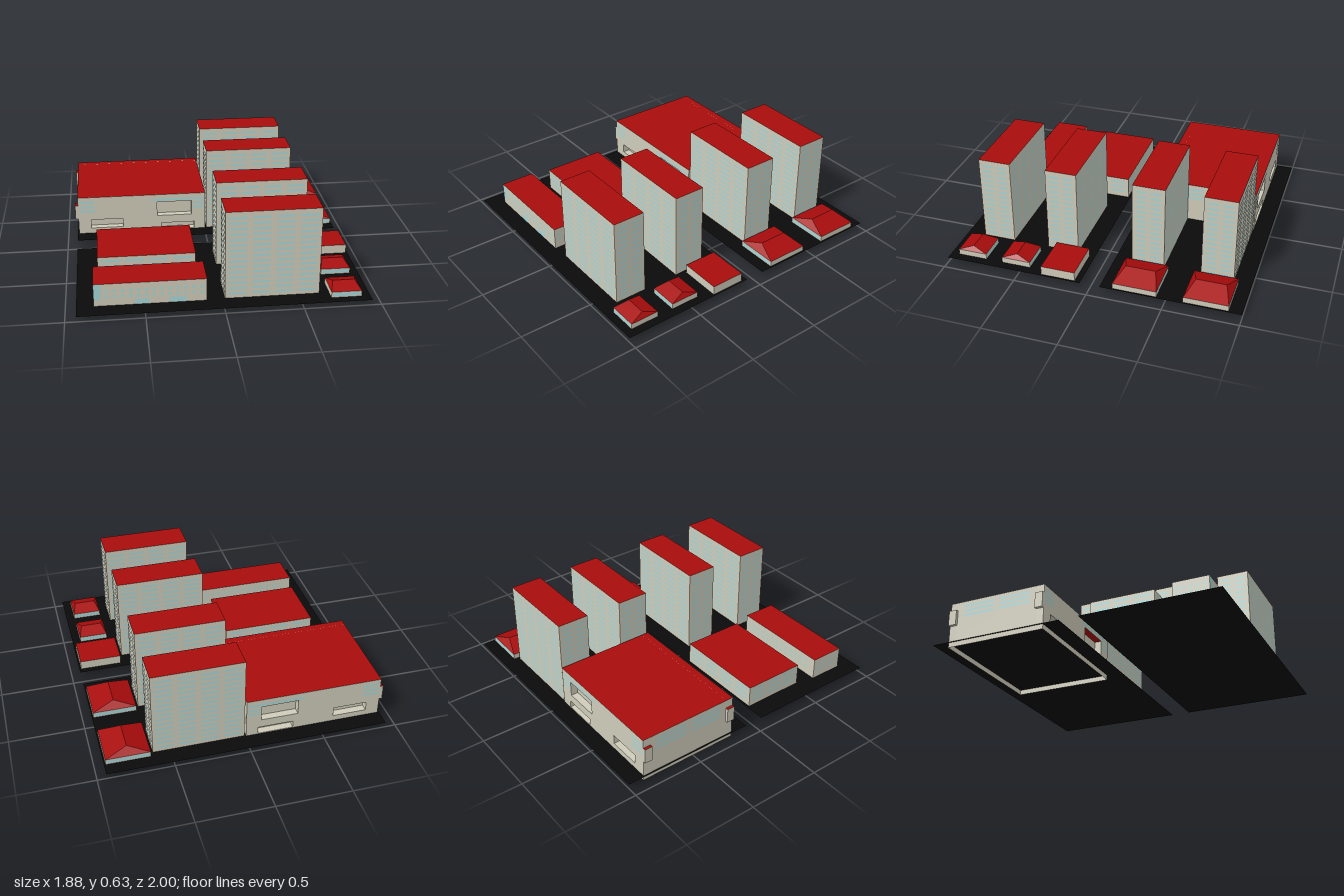
import * as THREE from 'three';
import { mergeGeometries } from 'three/addons/utils/BufferGeometryUtils.js';

const mat = (color, side = THREE.FrontSide) => new THREE.MeshStandardMaterial({ color, side });
const wall = mat(0xcfccba), red = mat(0xa80c0c), glass = mat(0xa6d6d8);
const asphalt = mat(0x0a0a0a, THREE.DoubleSide), skirtMat = mat(0xcfccba, THREE.DoubleSide);
const BASE = 0.036; // just above the ground sheets

// Box from its limits, with a red flat top
function block(name, x0, x1, z0, z1, top, y0 = BASE) {
  const g = new THREE.BoxGeometry(x1 - x0, top - y0, z1 - z0);
  g.translate((x0 + x1) / 2, (y0 + top) / 2, (z0 + z1) / 2);
  const m = new THREE.Mesh(g, [wall, wall, red, wall, wall, wall]);
  m.name = name;
  return m;
}

// Window panes on one facade: axis 'x' or 'z' is the normal, sign its direction
function windows(axis, sign, at, rects) {
  const parts = rects.map(([u0, u1, y0, y1]) => {
    const g = new THREE.PlaneGeometry(u1 - u0, y1 - y0);
    const u = (u0 + u1) / 2, y = (y0 + y1) / 2, d = at + sign * 0.0015;
    if (axis === 'z') return g.rotateY(sign > 0 ? 0 : Math.PI).translate(u, y, d);
    return g.rotateY(sign * Math.PI / 2).translate(d, y, u);
  });
  const m = new THREE.Mesh(mergeGeometries(parts), glass);
  m.name = 'windows';
  return m;
}

// Grid of panes: columns as [u0, u1] pairs, repeated upwards
function grid(cols, y0, step, rows, h) {
  const out = [];
  for (let r = 0; r < rows; r++) {
    for (const [a, b] of cols) out.push([a, b, y0 + r * step, y0 + r * step + h]);
  }
  return out;
}

// Evenly spaced columns between two limits
function columns(a, b, n, fill) {
  const s = (b - a) / n, pad = s * (1 - fill) / 2;
  return Array.from({ length: n }, (_, i) => [a + i * s + pad, a + (i + 1) * s - pad]);
}

function tower(z0, z1) {
  const g = new THREE.Group();
  g.name = 'tower';
  g.add(block('towerBody', 0.01, 0.62, z0, z1, 0.635));
  const front = grid(columns(0.015, 0.615, 4, 0.78), 0.062, 0.0375, 15, 0.015);
  const side = grid(columns(z0 + 0.01, z1 - 0.01, 2, 0.74), 0.062, 0.0375, 15, 0.015);
  g.add(windows('z', 1, z1, front), windows('z', -1, z0, front));
  g.add(windows('x', 1, 0.62, side), windows('x', -1, 0.01, side));
  return g;
}

// Hipped roof: eaves rectangle rising to a ridge from a to b
function hipRoof(x0, x1, z0, z1, y, a, b) {
  const c = [[x0, y, z1], [x1, y, z1], [x1, y, z0], [x0, y, z0]];
  const alongX = a[2] === b[2];
  const tris = alongX
    ? [[c[0], c[1], b], [c[0], b, a], [c[1], c[2], b], [c[2], c[3], a], [c[2], a, b], [c[3], c[0], a]]
    : [[c[0], c[1], b], [c[1], c[2], a], [c[1], a, b], [c[2], c[3], a], [c[3], c[0], b], [c[3], b, a]];
  const g = new THREE.BufferGeometry();
  g.setAttribute('position', new THREE.Float32BufferAttribute(tris.flat(2), 3));
  g.computeVertexNormals();
  const m = new THREE.Mesh(g, red);
  m.name = 'hipRoof';
  return m;
}

function house(x0, x1, z0, z1, a, b) {
  const g = new THREE.Group();
  g.name = 'house';
  g.add(block('houseWalls', x0, x1, z0, z1, 0.075), hipRoof(x0, x1, z0, z1, 0.075, a, b));
  const row = [[x0 + 0.01, x1 - 0.01, 0.045, 0.068]];
  g.add(windows('z', 1, z1, row), windows('z', -1, z0, row));
  return g;
}

// Wide hall with recessed balconies and entrances in its two long walls
function mainHall() {
  const g = new THREE.Group();
  g.name = 'mainHall';
  const [x0, x1, z0, z1, top, t] = [-0.92, 0, -0.885, -0.185, 0.315, 0.05];
  const recesses = [[-0.35, -0.1, 0.15, 0.257], [-0.32, -0.08, 0.04, 0.09], [-0.83, -0.6, 0.075, 0.14]];
  g.add(block('hallCore', x0, x1, z0 + t, z1 - t, top));

  const rect = (P, a, b, c, d) => {
    const p = new P();
    p.moveTo(a, c); p.lineTo(b, c); p.lineTo(b, d); p.lineTo(a, d); p.closePath();
    return p;
  };
  const shape = rect(THREE.Shape, x0, x1, BASE, top);
  shape.holes = recesses.map(r => rect(THREE.Path, ...r));
  const panel = new THREE.ExtrudeGeometry(shape, { depth: t, bevelEnabled: false });
  const rows = [[x0 + 0.01, -0.8, 0.2, 0.215], [x0 + 0.01, -0.8, 0.232, 0.247],
    [-0.39, -0.01, 0.268, 0.284], [x0 + 0.01, -0.8, 0.268, 0.284],
    [-0.09, -0.01, 0.232, 0.247], [-0.09, -0.01, 0.2, 0.215]];
  for (const [z, face, s] of [[z0, z0, -1], [z1 - t, z1, 1]]) {
    const p = new THREE.Mesh(panel, wall);
    p.position.z = z;
    p.name = 'recessedFacade';
    g.add(p, windows('z', s, face, rows));
    // Roof covering over the facade and red balcony ceiling
    const cover = new THREE.Mesh(new THREE.PlaneGeometry(x1 - x0, t).rotateX(-Math.PI / 2), red);
    cover.position.set((x0 + x1) / 2, top + 0.0005, z + t / 2);
    cover.name = 'roofEdge';
    const ceiling = new THREE.Mesh(new THREE.PlaneGeometry(0.25, t).rotateX(Math.PI / 2), red);
    ceiling.position.set(-0.225, 0.256, z + t / 2);
    ceiling.name = 'balconyCeiling';
    g.add(cover, ceiling);
  }
  const side = grid(columns(z0 + 0.08, z1 - 0.08, 2, 0.85), 0.205, 0.033, 3, 0.015);
  g.add(windows('x', 1, x1, side), windows('x', -1, x0, side));

  // Corner bays on the end wall
  g.add(block('cornerBay', -0.94, x0, z0, -0.83, 0.255, 0.15));
  g.add(block('cornerBay', -0.94, x0, -0.24, z1, 0.255, 0.15));

  // Open foundation skirt reaching below the ground sheet
  const skirt = new THREE.Group();
  skirt.name = 'foundationSkirt';
  for (const [w, x, z, r] of [[0.92, -0.46, z0, 0], [0.92, -0.46, z1, 0],
    [0.7, x0, -0.535, 1], [0.7, x1, -0.535, 1]]) {
    const m = new THREE.Mesh(new THREE.PlaneGeometry(w, BASE), skirtMat);
    m.position.set(x, BASE / 2, z);
    m.rotation.y = r * Math.PI / 2;
    m.name = 'skirtWall';
    skirt.add(m);
  }
  g.add(skirt);
  return g;
}

// Low front block with small windows and two glazed doors
function frontBlock() {
  const g = new THREE.Group();
  g.name = 'frontBlock';
  const [x0, x1, z0, z1] = [-0.82, -0.105, 0.645, 0.885];
  g.add(block('frontBlockBody', x0, x1, z0, z1, 0.19));
  const small = grid(columns(-0.76, x1 - 0.01, 13, 0.4), 0.09, 0.04, 2, 0.02);
  const doors = [[-0.56, -0.47, 0.04, 0.075], [-0.345, -0.24, 0.04, 0.075], [x0 + 0.002, -0.772, 0.08, 0.185]];
  g.add(windows('z', 1, z1, [...small, ...doors]), windows('z', -1, z0, small));
  const ends = grid(columns(z0 + 0.01, z1 - 0.01, 5, 0.4), 0.09, 0.04, 2, 0.02);
  g.add(windows('x', 1, x1, ends), windows('x', -1, x0, ends));
  return g;
}

function middleBlock() {
  const g = new THREE.Group();
  g.name = 'middleBlock';
  const [x0, x1, z0, z1] = [-0.79, -0.14, 0.08, 0.515];
  g.add(block('middleBlockBody', x0, x1, z0, z1, 0.187));
  const long = grid(columns(x0 + 0.01, x1 - 0.01, 4, 0.8), 0.075, 0.038, 3, 0.015);
  const ends = grid(columns(z0 + 0.01, z1 - 0.01, 3, 0.8), 0.075, 0.038, 3, 0.015);
  g.add(windows('z', 1, z1, long), windows('z', -1, z0, long));
  g.add(windows('x', 1, x1, ends), windows('x', -1, x0, ends));
  return g;
}

export function createModel() {
  const model = new THREE.Group();
  model.name = 'cityBlocks';

  // Two ground sheets separated by a street gap
  for (const [z0, z1] of [[-1, -0.07], [0.065, 1]]) {
    const m = new THREE.Mesh(new THREE.PlaneGeometry(1.87, z1 - z0).rotateX(-Math.PI / 2), asphalt);
    m.position.set(0.005, 0.035, (z0 + z1) / 2);
    m.name = 'groundSheet';
    model.add(m);
  }

  for (const [a, b] of [[-0.88, -0.66], [-0.41, -0.19], [0.19, 0.405], [0.655, 0.875]]) model.add(tower(a, b));
  model.add(mainHall(), middleBlock(), frontBlock());

  // Large houses with ridges along z, small houses with ridges along x
  for (const z of [-0.767, -0.3]) {
    model.add(house(0.638, 0.93, z - 0.147, z + 0.147, [0.784, 0.122, z - 0.1], [0.784, 0.122, z + 0.1]));
  }
  for (const z of [0.532, 0.845]) {
    model.add(house(0.685, 0.882, z - 0.099, z + 0.099, [0.712, 0.107, z], [0.855, 0.107, z]));
  }
  model.add(block('flatRoofHouse', 0.642, 0.928, 0.103, 0.335, 0.098));
  return model;
}
